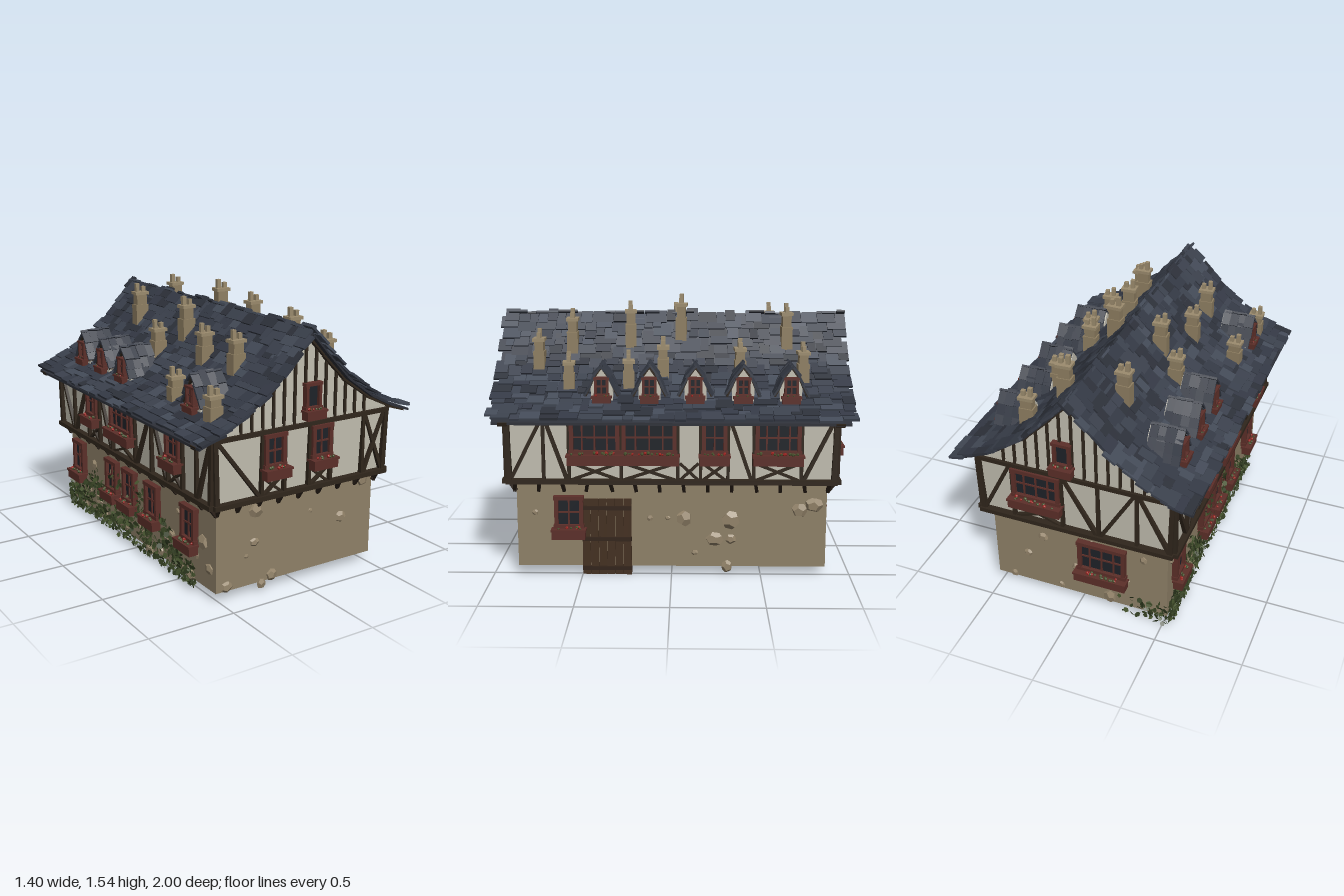
import * as THREE from 'three';
import { mergeGeometries } from 'three/addons/utils/BufferGeometryUtils.js';

const COLORS = {
  groundWall: 0x8f8168, upperWall: 0xc4c0b2, gableWall: 0xc4c0b2, timber: 0x30261c, jettyBracket: 0x2a2018,
  windowFrame: 0x5c2f29, windowGlass: 0x1e2228, flowerBox: 0x5c2f29, flowerLeaves: 0x46502c, flowers: 0x9a2420,
  doorPlanks: 0x443020, doorStraps: 0x33241a, stones: 0x96866c, ivyLight: 0x46542e, ivyDark: 0x333f22,
  roofShell: 0x2d3038, roofTilesA: 0x3b414d, roofTilesB: 0x343945, roofTilesC: 0x444b58, roofTilesD: 0x2d313a,
  dormerWall: 0xc4c0b2, dormerTiles: 0x353a45, chimneys: 0x8f7f62, chimneyCaps: 0x9c8c6e,
};
const OPEN = ['groundWall', 'upperWall', 'gableWall', 'ivyLight', 'ivyDark', 'flowerLeaves'];
const P = Math.PI;
// right half of the bell-shaped roof line, ridge to eave
const ROOF = [[0, 1.42], [0.11, 1.3], [0.25, 1.155], [0.42, 1.035], [0.56, 0.965], [0.68, 0.922]];
const shapeOf = (pts) => new THREE.Shape(pts.map((p) => new THREE.Vector2(...p)));

export function createModel() {
  let seed = 7;
  const rnd = (a = 0, b = 1) => {
    seed = (seed * 16807) % 2147483647;
    return a + (b - a) * seed / 2147483647;
  };
  const parts = {};
  let frame = new THREE.Matrix4();
  const put = (name, geo) => {
    const g = geo.index ? geo.toNonIndexed() : geo;
    g.deleteAttribute('uv');
    (parts[name] ??= []).push(g.applyMatrix4(frame));
  };
  // local frame of a house side: x along the wall, z outward
  const face = (angle, dist, x = 0, y = 0, z = 0) => {
    frame = new THREE.Matrix4().makeRotationY(angle)
      .multiply(new THREE.Matrix4().makeTranslation(0, 0, dist));
    frame.premultiply(new THREE.Matrix4().makeTranslation(x, y, z));
  };
  const box = (name, w, h, d, x, y, z, rz = 0, rx = 0) =>
    put(name, new THREE.BoxGeometry(w, h, d).rotateX(rx).rotateZ(rz).translate(x, y, z));
  const bar = (x1, y1, x2, y2, t = 0.02, d = 0.034) =>
    box('timber', Math.hypot(x2 - x1, y2 - y1), t, d, (x1 + x2) / 2, (y1 + y2) / 2, 0, Math.atan2(y2 - y1, x2 - x1));
  const cross = (x1, x2, y1, y2, t) => { bar(x1, y1, x2, y2, t, 0.028); bar(x1, y2, x2, y1, t, 0.025); };
  const roofY = (x) => {
    const a = Math.abs(x), i = Math.max(1, ROOF.findIndex((p) => p[0] >= a));
    const [p, q] = [ROOF[i - 1], ROOF[i]];
    return p[1] + (q[1] - p[1]) * (a - p[0]) / (q[0] - p[0]);
  };

  // window with frame, glazing bars and a planted box; y is the lower edge
  const win = (x, y, w, h, cols = 2, rows = 2, boxH = 0.055) => {
    const t = Math.min(0.022, w * 0.17), m = y + h / 2;
    box('windowGlass', w - t, h - t, 0.016, x, m, 0.006);
    for (const s of [-1, 1]) {
      box('windowFrame', t, h, 0.05, x + s * (w - t) / 2, m, 0.008);
      box('windowFrame', w + 0.01, t, 0.054, x, m + s * (h - t) / 2, 0.008);
    }
    for (let i = 1; i < cols; i++) box('windowFrame', 0.009, h, 0.028, x - w / 2 + w * i / cols, m, 0.008);
    for (let i = 1; i < rows; i++) box('windowFrame', w, 0.009, 0.026, x, y + h * i / rows, 0.008);
    box('flowerBox', w + 0.025, boxH, boxH, x, y - boxH / 2, 0.012 + boxH / 2);
    box('flowerBox', w + 0.035, 0.012, boxH + 0.01, x, y - 0.004, 0.012 + boxH / 2);
    for (let i = 0; i < w * 60; i++) {
      const r = boxH * rnd(0.1, 0.2);
      put(i % 3 ? 'flowerLeaves' : 'flowers', new THREE.IcosahedronGeometry(r, 0)
        .translate(x + rnd(-0.45, 0.45) * w, y + r, 0.012 + boxH * rnd(0.4, 0.95)));
    }
  };
  const stone = (x, y, r) => put('stones', new THREE.DodecahedronGeometry(r, 0)
    .rotateX(rnd(0, 6)).rotateZ(rnd(0, 6)).scale(rnd(0.85, 1.1), rnd(0.8, 1.1), 0.5).translate(x, y, 0));

  // open shells of the two storeys
  const shell = (name, top, x, z, y0, y1) => put(name,
    new THREE.CylinderGeometry(top * Math.SQRT2, Math.SQRT2, y1 - y0, 4, 1, true)
      .rotateY(P / 4).scale(x, 1, z).translate(0, (y0 + y1) / 2, 0));
  shell('groundWall', 1, 0.52, 0.86, 0.05, 0.55);
  shell('upperWall', 1.018, 0.553, 0.89, 0.54, 0.93);

  // timber framing of one side; each bay between posts holds a brace (/ or \), a cross (X),
  // a low cross (x), a window over a low cross (w) or plain plaster (.)
  const framing = (angle, dist, half, posts, bays) => {
    face(angle, dist);
    bar(-half - 0.012, 0.552, half + 0.012, 0.552, 0.026, 0.06);
    bar(-half - 0.015, 0.905, half + 0.015, 0.905, 0.024, 0.044);
    for (const e of [-1, 1]) bar(e * (half - 0.008), 0.55, e * (half + 0.002), 0.91, 0.026, 0.04);
    for (const x of posts) bar(x, 0.55, x, 0.91, 0.018);
    const edges = [-half, ...posts, half];
    [...bays].forEach((kind, i) => {
      const a = edges[i] + 0.012, b = edges[i + 1] - 0.012;
      if (kind === '/') bar(a, 0.56, b, 0.895);
      if (kind === '\\') bar(a, 0.895, b, 0.56);
      if (kind === 'X') cross(a, b, 0.56, 0.895, 0.02);
      if (kind === 'x' || kind === 'w') cross(a, b, 0.56, 0.655, 0.014);
      if (kind === 'w') win((a + b) / 2, 0.71, b - a + 0.012, 0.185, b - a > 0.2 ? 4 : 2);
    });
  };
  // gable wall with studs, verge boards and an attic window
  const gable = (winX) => {
    const line = ROOF.slice(0, 5).map(([x, y]) => [x, y - 0.025]);
    put('gableWall', new THREE.ShapeGeometry(shapeOf([[-0.56, 0.9], [0.56, 0.9],
      ...line.slice().reverse(), ...line.slice(1).map(([x, y]) => [-x, y])])));
    for (let i = -6; i <= 6; i++) {
      const x = i * 0.067;
      bar(x, Math.abs(x - winX) > 0.04 ? 0.91 : 1.1, x, roofY(x) - 0.03, 0.014, 0.024);
    }
    for (const e of [-1, 1]) for (let i = 1; i < ROOF.length; i++)
      bar(e * ROOF[i - 1][0], ROOF[i - 1][1] - 0.035, e * ROOF[i][0], ROOF[i][1] - 0.03, 0.022, 0.05);
    win(winX, 0.985, 0.1, 0.145, 1, 1, 0.05);
  };
  // ground storey frame with a row of slanted brackets under the jetty
  const ground = (angle, dist, half) => {
    face(angle, dist);
    const n = Math.round(half / 0.07);
    for (let i = 0; i <= n; i++)
      box('jettyBracket', 0.018, 0.075, 0.022, (half - 0.03) * (2 * i / n - 1), 0.518, 0.022, rnd(-0.25, 0.25), 0.6);
  };
  const leaf = (x, y) => put(rnd() < 0.5 ? 'ivyLight' : 'ivyDark', new THREE.CircleGeometry(rnd(0.011, 0.02), 5)
    .rotateX(rnd(-0.9, 0.5)).rotateY(rnd(-0.8, 0.8)).rotateZ(rnd(0, 6)).translate(x, y, rnd(0.005, 0.035)));

  // front
  framing(0, 0.9, 0.555, [-0.27, -0.125, 0.035, 0.18, 0.4], '\\w.w.X');
  gable(0.04);
  ground(0, 0.86, 0.555);
  for (const s of [[-0.27, 0.47, 0.05], [-0.28, 0.29, 0.03], [-0.33, 0.22, 0.015], [0.09, 0.39, 0.016], [0.3, 0.31, 0.04],
    [0.45, 0.5, 0.036], [-0.455, 0.075, 0.04], [-0.23, 0.04, 0.033], [-0.165, 0.075, 0.036]]) stone(...s);

  // right side with the plank door
  framing(P / 2, 0.56, 0.895, [-0.7, -0.56, -0.275, 0.035, 0.16, 0.31, 0.45, 0.71], '/\\wwxw\\w/');
  ground(P / 2, 0.52, 0.895);
  win(-0.57, 0.275, 0.16, 0.185);
  for (const s of [[-0.76, 0.36, 0.018], [-0.12, 0.33, 0.018], [-0.02, 0.33, 0.016], [0.07, 0.33, 0.05], [0.33, 0.32, 0.055],
    [0.24, 0.21, 0.05], [0.33, 0.21, 0.03], [0.13, 0.13, 0.018], [0.71, 0.38, 0.042], [0.79, 0.41, 0.05],
    [0.31, 0.05, 0.035]]) stone(...s);
  face(P / 2, 0.5);
  for (let i = 0; i < 6; i++) box('doorPlanks', 0.044, 0.44, 0.055 + (i % 2) * 0.008, -0.475 + i * 0.046, 0.222, 0);
  for (const y of [0.04, 0.21, 0.39]) box('doorStraps', 0.276, 0.022, 0.078, -0.36, y, 0);

  // back
  framing(P, 0.9, 0.555, [-0.36, -0.07, 0.14, 0.36], '/w\\/\\');
  gable(-0.05);
  ground(P, 0.86, 0.555);
  win(0.14, 0.26, 0.28, 0.2, 4);
  for (let i = 0; i < 9; i++) stone(-0.42 + i * 0.1, i % 3 * 0.17 + rnd(0.06, 0.1), rnd(0.02, 0.045));
  for (let i = 0; i < 50; i++) leaf(0.52 - 0.3 * rnd() ** 2, rnd(0.01, 0.15));

  // left side with ivy climbing from the back corner
  framing(-P / 2, 0.56, 0.895, [-0.7, -0.5, -0.355, -0.19, 0.09, 0.28, 0.455, 0.61, 0.75], '\\/w\\w/\\w./');
  ground(-P / 2, 0.52, 0.895);
  for (const x of [-0.72, -0.27, -0.05, 0.22, 0.62]) win(x, 0.27, 0.14, 0.2);
  for (let i = 0; i < 26; i++) stone(-0.8 + i * 0.064, rnd(0.05, 0.24) + (i % 4 ? 0 : 0.2), rnd(0.018, 0.048));
  for (let i = 0; i < 900; i++) {
    const x = rnd(-0.87, 0.68);
    const top = 0.13 + 0.3 * Math.max(0, 1 - ((x + 0.1) / 0.7) ** 2) * (0.75 + 0.25 * Math.sin(x * 21));
    leaf(x, 0.02 + top * rnd() ** 1.2);
  }

  // roof shell
  face(0, 0);
  const under = ROOF.map(([x, y]) => [x, y - 0.018]);
  const line = [...under.slice(1).reverse(), ...under.map(([x, y]) => [-x, y])];
  put('roofShell', new THREE.ExtrudeGeometry(shapeOf([...line, ...line.slice().reverse().map(([x, y]) => [x, y - 0.014])]),
    { depth: 1.92, bevelEnabled: false }).translate(0, 0, -0.96));

  // ragged courses of overlapping slates
  const curve = new THREE.SplineCurve(ROOF.map((p) => new THREE.Vector2(...p)));
  const ROWS = 16;
  for (const side of [-1, 1]) for (let r = 0; r < ROWS; r++) {
    let z = -1 + (rnd() < 0.4 ? 0 : rnd(0, 0.04));
    while (z < 0.955) {
      const w = Math.min(rnd(0.045, 0.13), 1 - z);
      const t = THREE.MathUtils.clamp(0.035 + 0.925 * r / (ROWS - 1) + rnd(-0.018, 0.018), 0.02, 0.965);
      const p = curve.getPointAt(t), d = curve.getTangentAt(t);
      box('roofTiles' + 'AABBCD'[Math.floor(rnd(0, 5.99))], rnd(0.075, 0.095), 0.013, w - 0.003,
        side * p.x, p.y + rnd(-0.006, 0.004), z + w / 2, side * (Math.atan2(d.y, d.x) + rnd(0.04, 0.14)));
      z += w;
    }
  }

  // dormers with a pointed front, a window and a slated hood
  const arch = shapeOf([[-0.06, 0], [0.06, 0], [0.06, 0.08], [0.04, 0.135], [0, 0.185], [-0.04, 0.135], [-0.06, 0.08]]);
  const hood = [[0.002, 0.2], [0.042, 0.145], [0.066, 0.09], [0.088, 0.045]];
  for (const [side, list] of [[1, [-0.65, -0.39, -0.13, 0.12, 0.38]], [-1, [-0.65, -0.39, -0.13, 0.63]]])
    for (const z of list) {
      face(side * P / 2, 0, side * 0.505, 0.985, z);
      put('dormerWall', new THREE.ExtrudeGeometry(arch, { depth: 0.17, bevelEnabled: false }).translate(0, 0, -0.17));
      win(0, 0.035, 0.076, 0.105, 2, 2, 0.036);
      for (const e of [-1, 1]) for (let i = 1; i < hood.length; i++) {
        const [a, b] = [hood[i - 1], hood[i]];
        bar(e * a[0], a[1] - 0.012, e * b[0], b[1] - 0.012, 0.01, 0.03);
        for (let k = 0; k < 4; k++)
          box('dormerTiles', Math.hypot(b[0] - a[0], b[1] - a[1]) + rnd(0.012, 0.03), 0.011, rnd(0.045, 0.06),
            e * (a[0] + b[0]) / 2, (a[1] + b[1]) / 2 + rnd(-0.004, 0.006), -k * 0.046,
            e * (Math.atan2(b[1] - a[1], b[0] - a[0]) + rnd(0, 0.16)), rnd(-0.1, 0.1));
      }
    }

  // chimneys at x, z; those near the ridge rise higher
  for (const [x, z] of [[0.14, -0.65], [0.33, -0.73], [-0.16, -0.57], [0.31, -0.38], [-0.29, -0.12], [-0.16, -0.015],
    [0.1, -0.05], [0.3, 0.05], [0.13, 0.24], [0.38, 0.24], [-0.24, 0.31], [-0.48, 0.4], [0.165, 0.57], [0.39, 0.57],
    [-0.23, 0.605], [0.255, 0.75], [-0.5, 0.805]]) {
    face(rnd(-0.08, 0.08), 0, x, roofY(x), z);
    const top = 0.18 - 0.14 * Math.abs(x);
    box('chimneys', 0.082, top * 0.55 + 0.08, 0.062, 0, top * 0.275 - 0.04, 0);
    box('chimneys', 0.066, top, 0.05, 0, top / 2, 0);
    box('chimneyCaps', 0.088, 0.018, 0.068, 0, top, 0);
    for (const e of [-1, 1]) box('chimneyCaps', 0.023, 0.05 - e * 0.01, 0.023, e * 0.02, top + 0.025 - e * 0.005, 0);
  }

  const model = new THREE.Group();
  model.name = 'timberFramedHouse';
  for (const [name, list] of Object.entries(parts)) {
    const mesh = new THREE.Mesh(mergeGeometries(list), new THREE.MeshStandardMaterial({
      color: COLORS[name], flatShading: true, side: OPEN.includes(name) ? THREE.DoubleSide : THREE.FrontSide,
    }));
    mesh.name = name;
    model.add(mesh);
  }
  return model;
}
